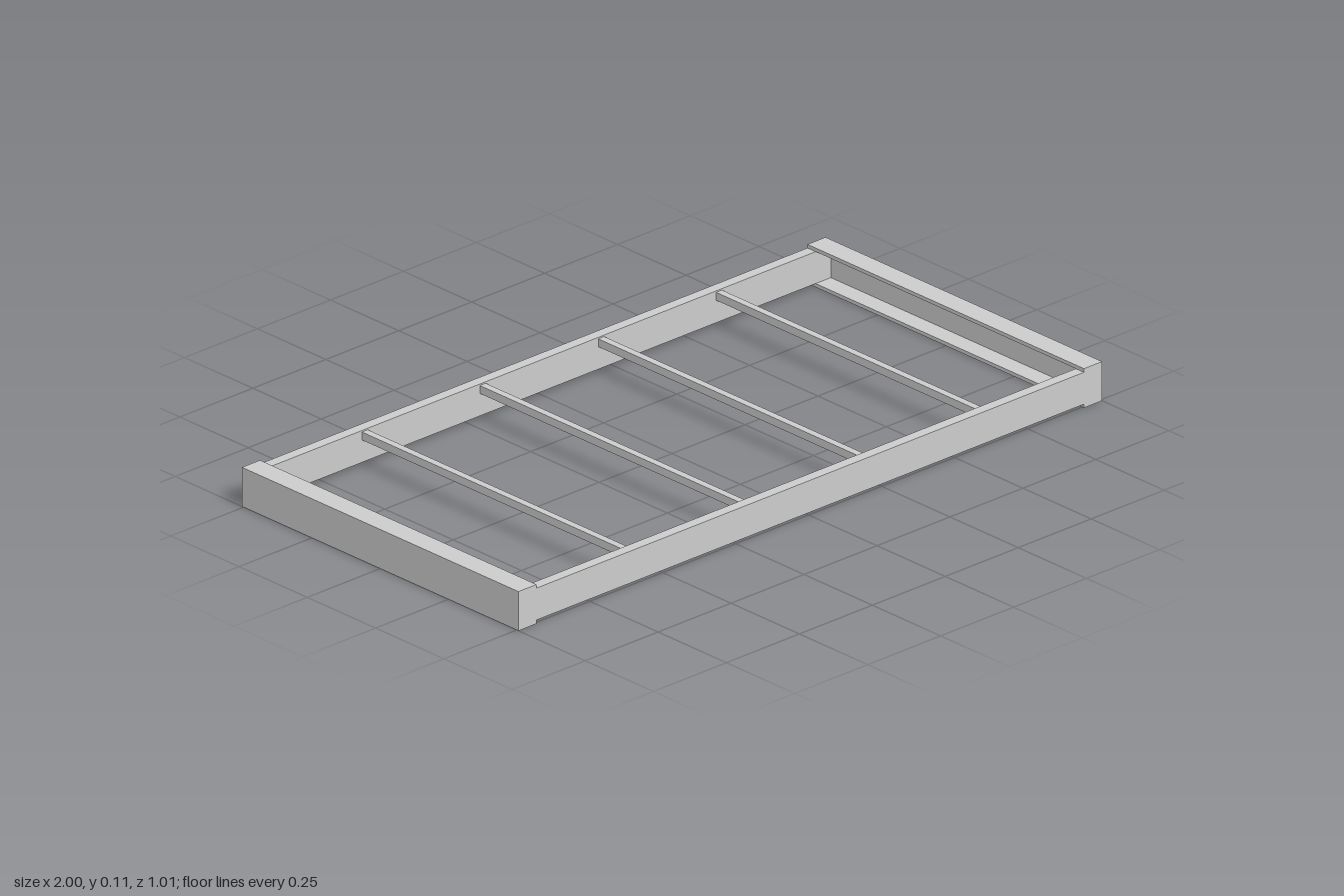
import * as THREE from 'three';

export function createModel() {
  const model = new THREE.Group();
  model.name = 'ladderFrame';
  const material = new THREE.MeshStandardMaterial({ color: 0xcccccc, flatShading: true });
  const add = (name, geometry, x, y, z) => {
    const mesh = new THREE.Mesh(geometry, material);
    mesh.name = name;
    mesh.position.set(x, y, z);
    model.add(mesh);
    return mesh;
  };

  const height = 0.108, halfDepth = 0.506, flange = 0.062, wall = 0.01;

  // End channels: C sections opening towards the middle
  const section = new THREE.Shape([
    [0, 0], [flange, 0], [flange, wall], [wall, wall],
    [wall, height - wall], [flange, height - wall], [flange, height], [0, height],
  ].map(([x, y]) => new THREE.Vector2(x, y)));
  const channel = new THREE.ExtrudeGeometry(section, { depth: 2 * halfDepth, bevelEnabled: false });
  add('rightEndChannel', channel, -1, 0, -halfDepth);
  add('leftEndChannel', channel, 1, 0, halfDepth).rotation.y = Math.PI;

  // Long side rails, seated between the channel flanges
  const railHeight = height - 2 * wall, railDepth = 0.03;
  const rail = new THREE.BoxGeometry(2 - 2 * wall, railHeight, railDepth);
  for (const [name, side] of [['frontRail', 1], ['backRail', -1]]) {
    add(name, rail, 0, height / 2, side * (halfDepth - railDepth / 2));
  }

  // Slim cross bars just below the top of the rails
  const bar = new THREE.BoxGeometry(0.02, 0.022, 2 * halfDepth - 0.02);
  for (const x of [-0.607, -0.203, 0.203, 0.607]) {
    add('crossBar', bar, x, 0.083, 0);
  }
  return model;
}
